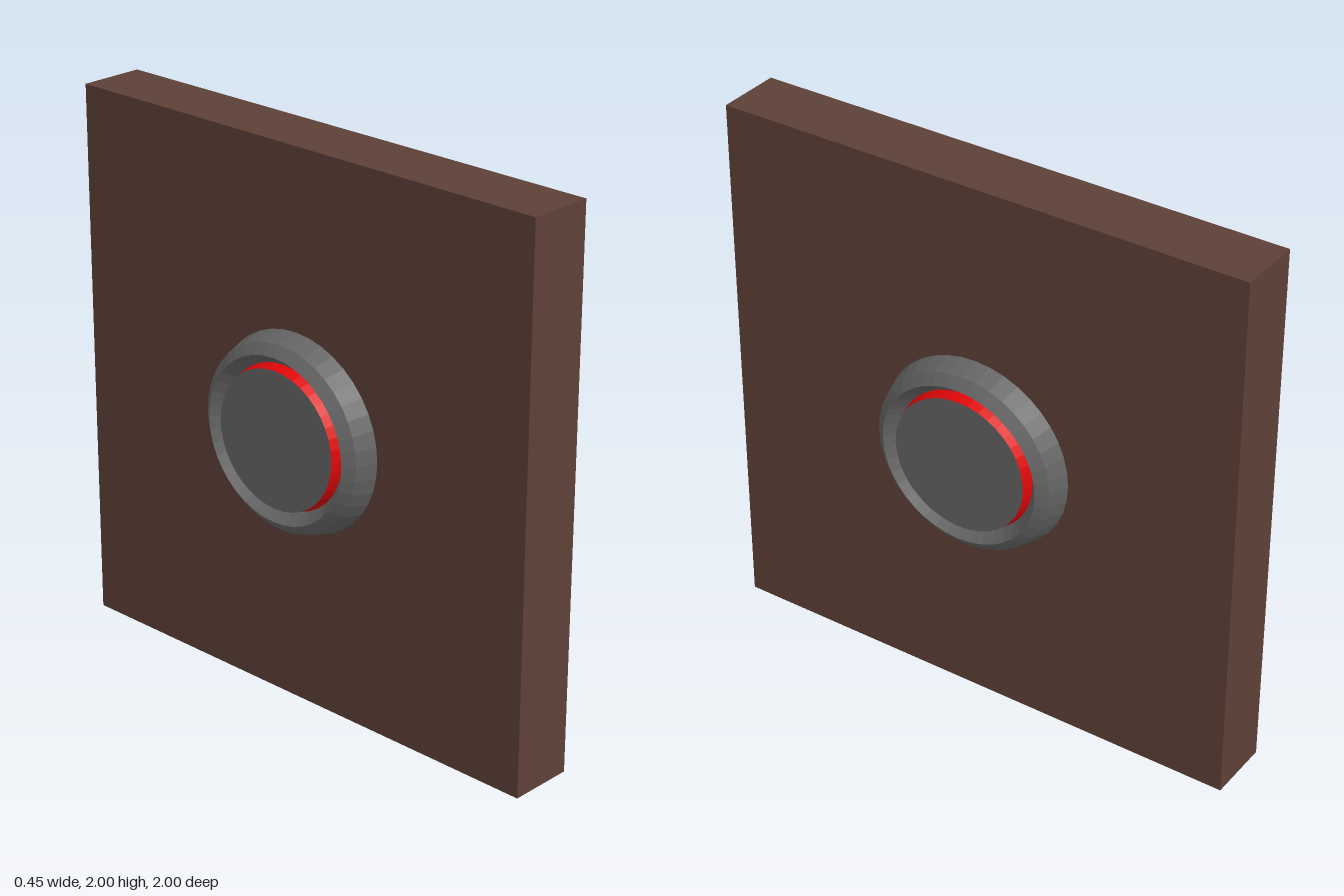
import * as THREE from 'three';

const SEGMENTS = 40;

// Faceted surface of revolution around the x axis, from [radius, x] points
function turned(points) {
  const lathe = new THREE.LatheGeometry(points.map(([r, x]) => new THREE.Vector2(r, x)), SEGMENTS);
  lathe.rotateZ(-Math.PI / 2);
  lathe.scale(1, 1, 1.03);
  const flat = lathe.toNonIndexed();
  flat.computeVertexNormals();
  return flat;
}

export function createModel() {
  const model = new THREE.Group();
  model.name = 'wallPanelWithButtons';

  const brown = new THREE.MeshStandardMaterial({ color: 0x5d4037 });
  brown.name = 'brown panel';
  const grey = new THREE.MeshStandardMaterial({ color: 0x646464 });
  grey.name = 'grey metal';
  const red = new THREE.MeshStandardMaterial({ color: 0xdd0808 });
  red.name = 'red';

  function add(parent, name, geometry, material) {
    const mesh = new THREE.Mesh(geometry, material);
    mesh.name = name;
    parent.add(mesh);
  }

  // Square slab
  const slab = new THREE.BoxGeometry(0.24, 2, 2);
  slab.translate(0, 1, 0);
  add(model, 'panel', slab, brown);

  // Bezel with a chamfered rim sloping into a groove
  const bezel = turned([[0.36, 0.115], [0.335, 0.195], [0.298, 0.225], [0.258, 0.175]]);
  // Raised plug: red side, grey cap
  const side = turned([[0.263, 0.165], [0.25, 0.22]]);
  const cap = new THREE.CircleGeometry(0.25, SEGMENTS);
  cap.rotateY(Math.PI / 2);
  cap.scale(1, 1, 1.03);
  cap.translate(0.22, 0, 0);

  // The same button on both faces
  for (const [name, turn] of [['leftButton', 0], ['rightButton', Math.PI]]) {
    const button = new THREE.Group();
    button.name = name;
    button.position.y = 1;
    button.rotation.y = turn;
    add(button, 'bezel', bezel, grey);
    add(button, 'plugSide', side, red);
    add(button, 'plugCap', cap, grey);
    model.add(button);
  }
  return model;
}
